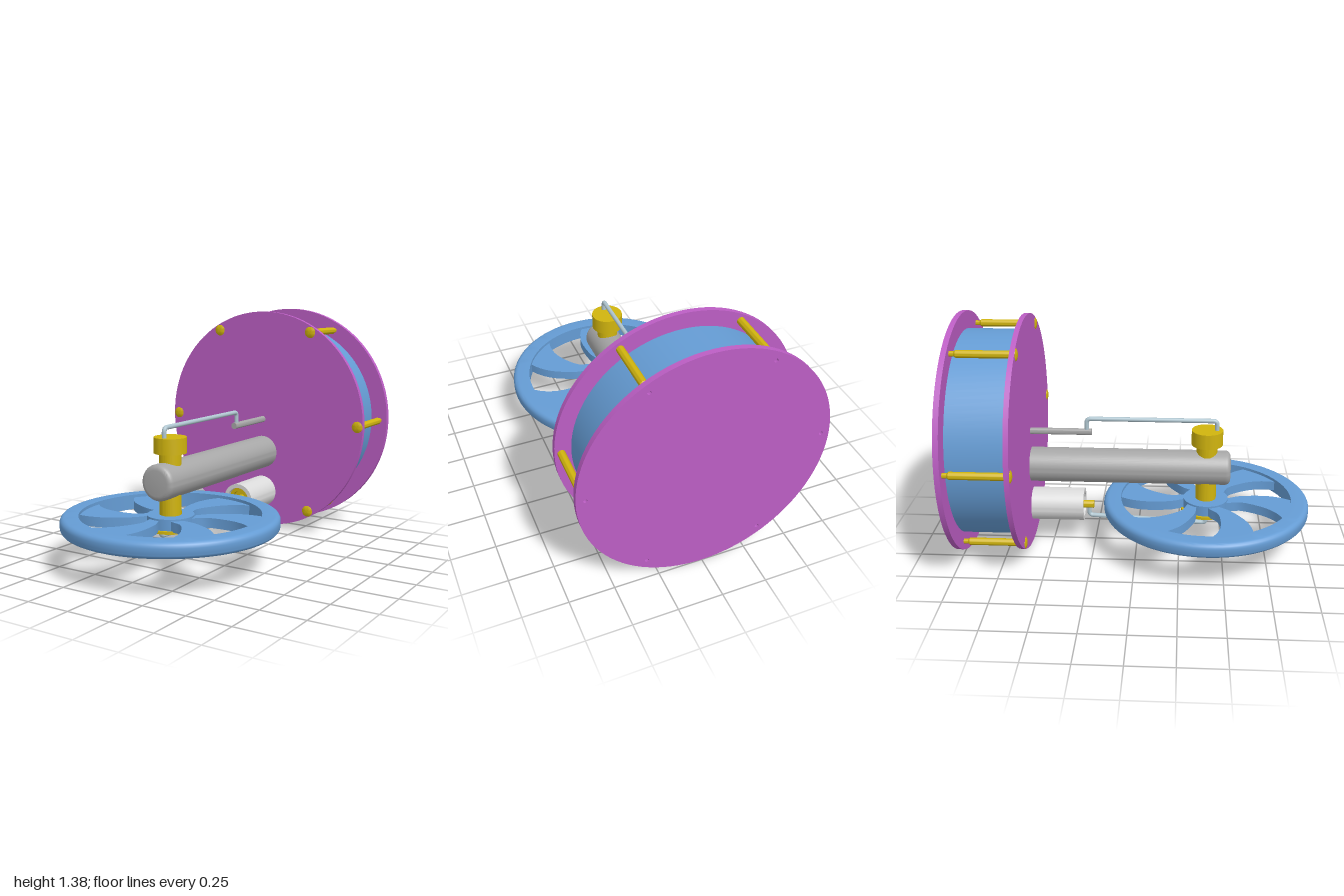
import * as THREE from 'three';
import { toCreasedNormals } from 'three/addons/utils/BufferGeometryUtils.js';

const material = (name, color) => {
  const m = new THREE.MeshStandardMaterial({ color });
  m.name = name;
  return m;
};

export function createModel() {
  const group = new THREE.Group();
  const purple = material('purple', 0xbc5ec4);
  const blue = material('blue', 0x659cd4);
  const brass = material('brass', 0xd0b40e);
  const grey = material('grey', 0xa6a6a6);
  const pale = material('pale grey', 0xdadada);
  const steel = material('steel', 0xb0c6d0);

  const add = (name, geometry, mat, parent = group) => {
    const mesh = new THREE.Mesh(geometry, mat);
    mesh.name = name;
    parent.add(mesh);
    return mesh;
  };
  // Turned part: [radius, height] pairs, listed counter-clockwise
  const turned = (profile, segments = 64) => toCreasedNormals(
    new THREE.LatheGeometry(profile.map(([r, h]) => new THREE.Vector2(r, h)), segments), 0.6);
  // Turned part lying along z
  const turnedZ = (profile, segments) => turned(profile, segments).rotateX(Math.PI / 2);
  const solid = (r, a, b) => [[0, a], [r, a], [r, b], [0, b]];
  // Quarter-round corner points from angle a to angle b
  const corner = (cr, ch, r, a, b) => Array.from({ length: 6 }, (_, i) => {
    const t = a + (b - a) * i / 5;
    return [cr + r * Math.cos(t), ch + r * Math.sin(t)];
  });
  const Q = Math.PI / 2;

  // Displacer drum between two plates
  const CY = 0.6875;
  add('drum', turnedZ(solid(0.587, -0.972, -0.64), 96), blue).position.y = CY;
  add('frontPlate', turnedZ(solid(0.676, -0.645, -0.617), 96), purple).position.y = CY;
  add('backPlate', turnedZ(solid(0.6875, -0.985, -0.97), 96), purple).position.y = CY;

  const face = new THREE.Shape();
  face.absarc(0, 0, 0.6875, 0, Math.PI * 2);
  const spacers = new THREE.Group();
  spacers.name = 'spacers';
  group.add(spacers);
  for (let i = 0; i < 6; i++) {
    const a = i * Math.PI / 3, x = 0.64 * Math.cos(a), y = 0.64 * Math.sin(a);
    const hole = new THREE.Path();
    hole.absarc(x, y, 0.011, 0, Math.PI * 2, true);
    face.holes.push(hole);
    add('spacer', turnedZ([[0, -0.972], [0.014, -0.972], [0.014, -0.945], [0.021, -0.935],
      [0.021, -0.64], [0, -0.64]], 24), brass, spacers).position.set(x, CY + y, 0);
    add('boltHead', turnedZ([[0, -0.62], [0.035, -0.62], [0.034, -0.616], [0.025, -0.611],
      [0.012, -0.608], [0, -0.607]], 24), brass, spacers).position.set(x, CY + y, 0);
  }
  const faceGeometry = new THREE.ExtrudeGeometry(face, { depth: 0.016, bevelEnabled: false, curveSegments: 48 });
  add('backPlateFace', toCreasedNormals(faceGeometry, 0.6), purple).position.set(0, CY, -1);

  // Bearing beam with rounded nose
  add('beam', turnedZ([[0, -0.62], [0.1, -0.62], ...corner(0.07, 0.51, 0.03, 0, Q), [0, 0.54]]), grey)
    .position.y = 0.482;

  // Crankshaft: shaft, top crank and lower flange
  const WZ = 0.403;
  add('shaft', turned(solid(0.06, 0.215, 0.64)), brass).position.z = WZ;
  add('topCrank', turned(solid(0.09, 0.628, 0.715)), brass).position.z = WZ;
  add('lowerFlange', turned(solid(0.143, 0.212, 0.228)), brass).position.z = WZ;

  // Flywheel: rim, hub and six swept spokes
  const wheel = new THREE.Group();
  wheel.name = 'flywheel';
  wheel.position.z = WZ;
  group.add(wheel);
  add('rim', turned([[0.497, 0.21], ...corner(0.567, 0.24, 0.03, -Q, 0),
    ...corner(0.567, 0.267, 0.03, 0, Q), [0.497, 0.297], [0.497, 0.21]], 96), blue, wheel);
  add('hub', turned(solid(0.13, 0.228, 0.29)), blue, wheel);

  const polar = (r, deg) => new THREE.Vector2(
    r * Math.cos(deg * Math.PI / 180), r * Math.sin(deg * Math.PI / 180));
  const edge = points => new THREE.SplineCurve(points.map(([r, d]) => polar(r, d))).getPoints(14);
  const leading = edge([[0.11, 90], [0.15, 82], [0.22, 78], [0.35, 81], [0.44, 85.5], [0.505, 90]]);
  const trailing = edge([[0.11, 122], [0.15, 109], [0.22, 101], [0.35, 107], [0.44, 113.5], [0.505, 120]]);
  const outer = [96, 102, 108, 114].map(d => polar(0.505, d));
  const spoke = toCreasedNormals(new THREE.ExtrudeGeometry(
    new THREE.Shape([...leading, ...outer, ...trailing.reverse()]),
    { depth: 0.055, bevelEnabled: false }).rotateX(Q), 0.6);
  for (let i = 0; i < 6; i++) {
    const s = add('spoke', spoke, blue, wheel);
    s.position.y = 0.28;
    s.rotation.y = i * Math.PI / 3;
  }

  // Bent connecting rods: round bar with softened corners
  const rod = (name, corners) => {
    const p = corners.map(c => new THREE.Vector3(...c));
    const path = new THREE.CurvePath();
    let from = p[0];
    for (let i = 1; i < p.length - 1; i++) {
      const towards = q => p[i].clone().add(q.clone().sub(p[i]).setLength(0.025));
      const a = towards(p[i - 1]), b = towards(p[i + 1]);
      path.add(new THREE.LineCurve3(from, a));
      path.add(new THREE.QuadraticBezierCurve3(a, p[i], b));
      from = b;
    }
    path.add(new THREE.LineCurve3(from, p[p.length - 1]));
    add(name, new THREE.TubeGeometry(path, 140, 0.013, 14), steel);
  };
  rod('upperRod', [[0, 0.7, 0.458], [0, 0.77, 0.458], [0, 0.77, -0.29], [0, 0.69, -0.29]]);
  rod('lowerRod', [[-0.065, 0.22, 0.405], [-0.065, 0.157, 0.405], [0, 0.157, -0.285], [0, 0.225, -0.285]]);

  // Displacer rod
  add('displacerRod', turnedZ(solid(0.019, -0.62, -0.262), 24), grey).position.y = 0.69;

  // Power cylinder with piston
  add('powerCylinder', turnedZ([[0.072, -0.62], [0.096, -0.62], [0.096, -0.312],
    [0.072, -0.312], [0.072, -0.62]]), pale).position.y = 0.228;
  add('piston', turnedZ([[0, -0.6], [0.071, -0.6], [0.071, -0.335], [0.05, -0.335],
    [0.05, -0.36], [0.023, -0.36], [0.023, -0.257], [0, -0.257]], 48), brass).position.y = 0.228;

  return group;
}
